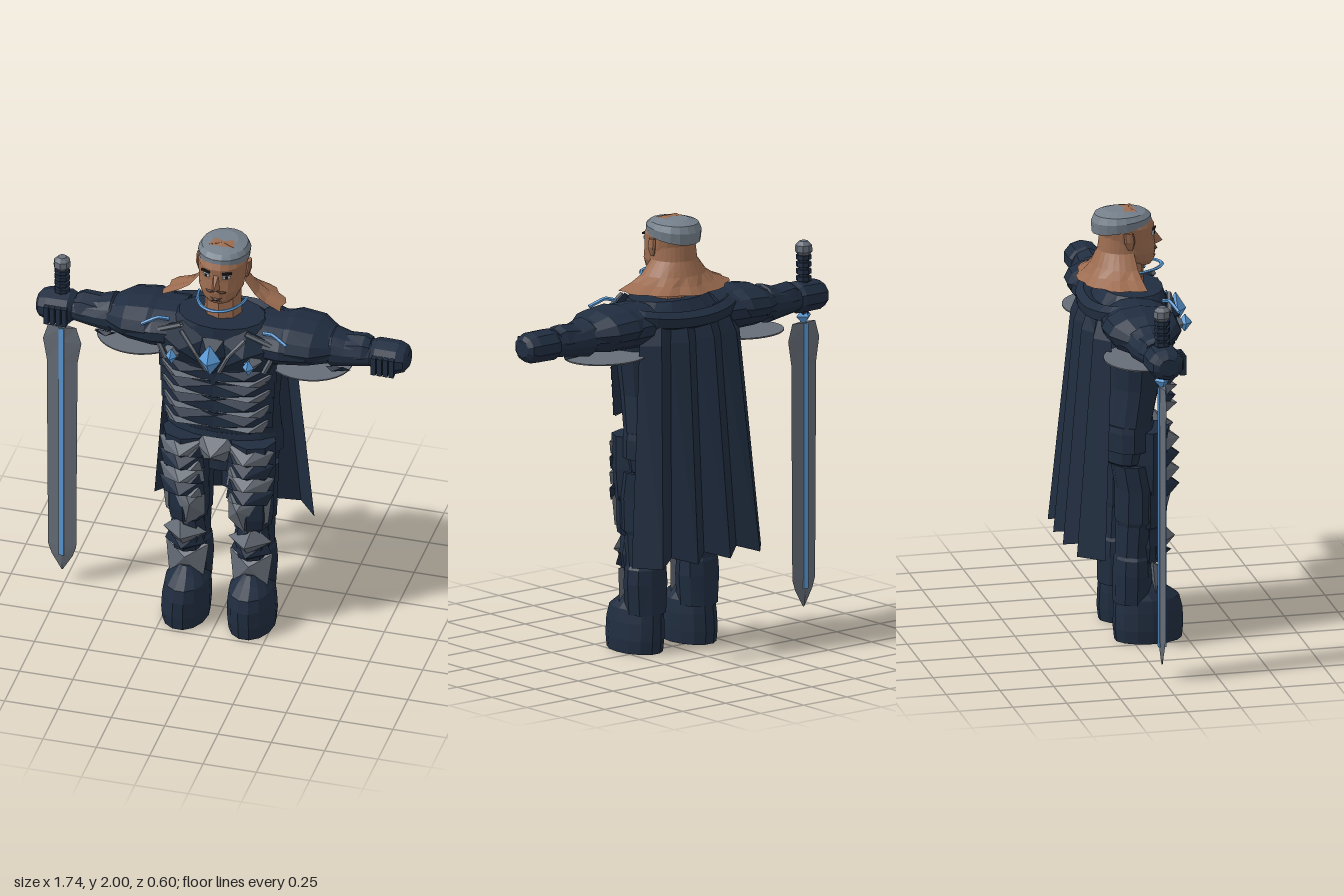
import * as THREE from 'three';

const mat = (name, color) => new THREE.MeshStandardMaterial({ name, color, side: THREE.DoubleSide });

// Closed body from elliptical rings [y, centreX, centreZ, radiusX, radiusZ], bottom to top
function loft(rings, n = 14) {
  const p = [], at = ([y, cx, cz, rx, rz], i) => {
    const a = (i / n) * Math.PI * 2;
    return [cx + rx * Math.cos(a), y, cz + rz * Math.sin(a)];
  };
  const lo = rings[0], hi = rings[rings.length - 1];
  for (let i = 0; i < n; i++) {
    for (let k = 0; k < rings.length - 1; k++) {
      const a = at(rings[k], i), b = at(rings[k], i + 1), c = at(rings[k + 1], i), d = at(rings[k + 1], i + 1);
      p.push(...a, ...c, ...b, ...b, ...c, ...d);
    }
    p.push(lo[1], lo[0], lo[2], ...at(lo, i), ...at(lo, i + 1));
    p.push(hi[1], hi[0], hi[2], ...at(hi, i + 1), ...at(hi, i));
  }
  return soup(p);
}

function soup(p) {
  const g = new THREE.BufferGeometry();
  g.setAttribute('position', new THREE.Float32BufferAttribute(p, 3));
  g.computeVertexNormals();
  return g;
}

// Loft along x: rings [x, centreY, centreZ, radiusY, radiusZ]
const loftX = (rings, n) => loft(rings.map(([x, cy, cz, ry, rz]) => [x, -cy, cz, ry, rz]), n).rotateZ(-Math.PI / 2);

// Faceted plate: outline [x, y, z] counter-clockwise from the front, raised to an apex
function facet(outline, apex) {
  const p = [], n = outline.length;
  outline.forEach((a, i) => p.push(...apex, ...a, ...outline[(i + 1) % n]));
  for (let i = 1; i < n - 1; i++) p.push(...outline[0], ...outline[i + 1], ...outline[i]);
  return soup(p);
}

// Open sheet through rows of points
function sheet(rows) {
  const p = [];
  for (let r = 0; r < rows.length - 1; r++) for (let i = 0; i < rows[r].length - 1; i++) {
    const a = rows[r][i], b = rows[r][i + 1], c = rows[r + 1][i], d = rows[r + 1][i + 1];
    p.push(...a, ...c, ...b, ...b, ...c, ...d);
  }
  return soup(p);
}

const box = (w, h, d, x, y, z, ry = 0) => new THREE.BoxGeometry(w, h, d).rotateY(ry).translate(x, y, z);
const rod = (pts, r) => {
  const path = new THREE.CurvePath();
  for (let i = 1; i < pts.length; i++) path.add(new THREE.LineCurve3(new THREE.Vector3(...pts[i - 1]), new THREE.Vector3(...pts[i])));
  return new THREE.TubeGeometry(path, (pts.length - 1) * 4, r, 5);
};
const crystal = (x, y, z, w, h, d) => loft([[y - h, x, z, 0.002, 0.002], [y, x, z, w, d], [y + h, x, z, 0.002, 0.002]], 4);

export function createModel() {
  const group = new THREE.Group();
  const navy = mat('navy armour', 0x202d40), steel = mat('steel grey', 0x666d77), blue = mat('crystal blue', 0x5c9ddb);
  const skin = mat('skin', 0x9c6c50), beard = mat('beard brown', 0x553a2c), hair = mat('grey hair', 0x747f8a);
  const dark = mat('dark line', 0x1c1c20), white = mat('eye white', 0xb8c4cc);

  const add = (name, geo, m) => {
    const g = geo.index ? geo.toNonIndexed() : geo;
    g.computeVertexNormals();
    const mesh = new THREE.Mesh(g, m);
    mesh.name = name;
    group.add(mesh);
  };
  // Adds a part and its mirror image across x = 0
  const pair = (name, geo, m) => {
    const g = geo.index ? geo.toNonIndexed() : geo, f = g.clone(), s = g.attributes.position;
    for (let i = 0; i < s.count; i += 3) [0, 2, 1].forEach((k, j) => f.attributes.position.setXYZ(i + j, -s.getX(i + k), s.getY(i + k), s.getZ(i + k)));
    add(name + 'Left', g, m);
    add(name + 'Right', f, m);
  };

  // Torso and belt
  add('torso', loft([[0.8, 0, 0.01, 0.16, 0.08], [0.85, 0, -0.02, 0.25, 0.11], [0.99, 0, -0.01, 0.27, 0.125], [1.2, 0, 0.02, 0.265, 0.14],
    [1.42, 0, 0.03, 0.285, 0.16], [1.56, 0, 0.02, 0.29, 0.17], [1.63, 0, 0.04, 0.2, 0.14]], 16), navy);
  add('belt', loft([[0.91, 0, -0.01, 0.275, 0.135], [1.0, 0, -0.01, 0.275, 0.14], [1.03, 0, -0.01, 0.27, 0.135]], 16), navy);
  add('buckle', facet([[-0.05, 0.9, 0.16], [0.05, 0.9, 0.16], [0.09, 0.97, 0.15], [0.06, 1.02, 0.15], [-0.06, 1.02, 0.15], [-0.09, 0.97, 0.15]], [0, 0.96, 0.235]), steel);

  // Overlapping abdomen plates
  for (let i = 0; i < 4; i++) {
    const y = 1.385 - i * 0.083, w = 0.275 - i * 0.006;
    pair('abdomenPlate', facet([[0, y - 0.05, 0.18], [w, y - 0.045, 0.11], [w, y + 0.055, 0.11], [0, y + 0.02, 0.18]], [0.15, y + 0.005, 0.21]), navy);
    pair('abdomenRidge', facet([[0.01, y - 0.035, 0.19], [0.22, y - 0.06, 0.14], [w - 0.01, y + 0.01, 0.13]], [0.17, y - 0.025, 0.212]), steel);
  }

  // Breastplate, trims and crystals
  pair('breastplate', facet([[0, 1.4, 0.19], [0.25, 1.41, 0.14], [0.3, 1.55, 0.13], [0.15, 1.635, 0.16], [0.04, 1.57, 0.19]], [0.15, 1.52, 0.23]), navy);
  pair('breastTrim', rod([[0.23, 1.42, 0.165], [0.29, 1.55, 0.15], [0.15, 1.625, 0.18]], 0.012), steel);
  pair('neckTrim', rod([[0.15, 1.6, 0.19], [0.08, 1.52, 0.222], [0.03, 1.41, 0.2]], 0.01), steel);
  add('chestCrystalMount', facet([[-0.075, 1.5, 0.19], [0, 1.39, 0.19], [0.075, 1.5, 0.19], [0.05, 1.58, 0.19], [-0.05, 1.58, 0.19]], [0, 1.5, 0.26]), navy);
  add('chestCrystal', crystal(0, 1.5, 0.245, 0.053, 0.078, 0.05), blue);
  pair('sideCrystalMount', facet([[0.13, 1.49, 0.18], [0.18, 1.43, 0.18], [0.23, 1.49, 0.18], [0.18, 1.54, 0.18]], [0.18, 1.488, 0.265]), steel);
  pair('sideCrystal', crystal(0.18, 1.49, 0.245, 0.027, 0.04, 0.035), blue);
  pair('shoulderInlay', rod([[0.22, 1.615, 0.135], [0.27, 1.628, 0.155], [0.34, 1.595, 0.18]], 0.009), blue);

  // Arms, hands and shoulder guards
  pair('arm', loftX([[0.18, 1.53, 0.01, 0.1, 0.16], [0.3, 1.53, 0.01, 0.1, 0.175], [0.42, 1.525, 0, 0.09, 0.16], [0.51, 1.52, 0, 0.075, 0.11],
    [0.52, 1.515, 0, 0.09, 0.105], [0.58, 1.51, 0, 0.075, 0.095], [0.7, 1.51, 0, 0.06, 0.07]]), navy);
  pair('shoulderCap', loftX([[0.26, 1.55, 0.01, 0.07, 0.15], [0.33, 1.545, 0, 0.092, 0.178], [0.44, 1.54, 0, 0.085, 0.168], [0.53, 1.53, 0, 0.05, 0.1]], 12), navy);
  pair('shoulderDisc', new THREE.CylinderGeometry(1, 1, 0.006, 28).scale(0.195, 1, 0.17).translate(0.4, 1.41, -0.01), steel);
  pair('bracer', loftX([[0.56, 1.51, 0, 0.075, 0.09], [0.66, 1.52, 0, 0.075, 0.08], [0.69, 1.52, 0, 0.06, 0.07]], 8), navy);
  pair('elbowFin', facet([[0.5, 1.42, 0.03], [0.6, 1.415, 0.03], [0.58, 1.46, 0.08], [0.5, 1.46, 0.09]], [0.53, 1.44, 0.1]), navy);
  pair('hand', loftX([[0.69, 1.51, 0, 0.06, 0.065], [0.72, 1.51, 0.005, 0.075, 0.085], [0.82, 1.51, 0.005, 0.073, 0.085], [0.855, 1.51, 0.005, 0.06, 0.07],
    [0.87, 1.51, 0.005, 0.04, 0.045]], 10), navy);
  for (let i = 0; i < 4; i++) pair('finger', box(0.022, 0.09, 0.03, 0.725 + i * 0.028, 1.5, 0.085), navy);

  // Legs with boots
  pair('thigh', loft([[0.37, 0.15, 0.01, 0.09, 0.08], [0.55, 0.15, 0.02, 0.095, 0.085], [0.57, 0.15, 0.03, 0.105, 0.1], [0.72, 0.15, 0.03, 0.11, 0.1],
    [0.84, 0.15, 0.01, 0.11, 0.1]], 10), navy);
  pair('calf', loft([[0.18, 0.15, 0.01, 0.095, 0.09], [0.32, 0.15, 0.01, 0.105, 0.09], [0.39, 0.15, 0.01, 0.1, 0.085], [0.42, 0.15, 0.01, 0.08, 0.07]], 10), navy);
  pair('boot', loft([[0, 0.155, 0.08, 0.105, 0.155], [0.06, 0.155, 0.08, 0.11, 0.162], [0.14, 0.152, 0.08, 0.108, 0.16], [0.2, 0.15, 0.075, 0.1, 0.15],
    [0.24, 0.15, 0.06, 0.075, 0.11], [0.28, 0.15, 0.06, 0.04, 0.07]]), navy);

  // Hip, thigh, knee and shin plates
  pair('hipGuard', loft([[0.7, 0.15, 0.08, 0.1, 0.09], [0.85, 0.155, 0.08, 0.11, 0.1], [1, 0.155, 0.08, 0.11, 0.1]], 8), navy);
  for (let i = 0; i < 4; i++) {
    const y = 0.95 - i * 0.072, b = 0.15;
    pair('hipPlate', facet([[0.05, y - 0.035, b], [0.24, y - 0.045, b], [0.27, y + 0.02, 0.12], [0.2, y + 0.045, b], [0.06, y + 0.04, b]], [0.15, y - 0.012, 0.228]), i % 2 ? navy : steel);
    pair('hipRidge', facet([[0.06, y - 0.045, 0.16], [0.17, y - 0.03, 0.19], [0.07, y + 0.015, 0.17]], [0.1, y - 0.02, 0.21]), i % 2 ? steel : navy);
  }
  pair('thighGuard', loft([[0.54, 0.15, 0.07, 0.09, 0.09], [0.6, 0.15, 0.07, 0.1, 0.1], [0.72, 0.15, 0.07, 0.1, 0.1]], 8), navy);
  pair('thighPlate', facet([[0.055, 0.58, 0.13], [0.14, 0.52, 0.15], [0.24, 0.58, 0.12], [0.255, 0.71, 0.12], [0.15, 0.735, 0.16], [0.055, 0.71, 0.13]], [0.11, 0.66, 0.195]), steel);
  pair('kneeGuard', loft([[0.37, 0.15, 0.07, 0.07, 0.08], [0.45, 0.15, 0.07, 0.085, 0.09], [0.53, 0.15, 0.07, 0.07, 0.08]], 8), navy);
  pair('kneePlate', facet([[0.05, 0.47, 0.11], [0.15, 0.41, 0.15], [0.255, 0.47, 0.11], [0.17, 0.555, 0.13]], [0.15, 0.475, 0.207]), steel);
  pair('lowerKneePlate', facet([[0.06, 0.4, 0.1], [0.15, 0.36, 0.12], [0.25, 0.4, 0.1], [0.23, 0.45, 0.1], [0.08, 0.45, 0.1]], [0.15, 0.41, 0.19]), navy);
  pair('shinPlate', facet([[0.07, 0.22, 0.1], [0.23, 0.22, 0.1], [0.25, 0.385, 0.08], [0.05, 0.385, 0.08]], [0.15, 0.33, 0.135]), steel);

  // Folded cloak with rolled collar
  const fold = (y, w, peak, valley, edge, jag) => Array.from({ length: 9 }, (_, i) => {
    const end = i % 8 === 0;
    return [(i - 4) / 4 * w, y + (i % 2 || end ? 0 : jag), end ? edge : i % 2 ? peak + (i % 6 === 1 ? 0.02 : 0) : valley];
  });
  add('cloak', sheet([fold(1.55, 0.26, -0.18, -0.15, -0.1, 0), fold(1.46, 0.29, -0.21, -0.165, -0.12, 0), fold(0.45, 0.375, -0.3, -0.225, -0.17, 0.03)]), navy);
  const roll = new THREE.CatmullRomCurve3([[-0.3, 1.58, 0.04], [-0.25, 1.57, -0.09], [-0.12, 1.555, -0.15], [0, 1.55, -0.16], [0.12, 1.555, -0.15],
    [0.25, 1.57, -0.09], [0.3, 1.58, 0.04]].map(v => new THREE.Vector3(...v)));
  add('cloakCollar', new THREE.TubeGeometry(roll, 16, 0.043, 6), navy);

  // Neck, flared nape and blue neck ring
  add('neck', loft([[1.57, 0, 0.015, 0.088, 0.08], [1.79, 0, 0.02, 0.085, 0.08]], 8), skin);
  const nape = (rx, rz, y, lift) => Array.from({ length: 19 }, (_, i) => {
    const a = (-14 + i * 208 / 18) * Math.PI / 180, jag = lift && i % 3 === 1 ? 0.94 : 1;
    return [rx * jag * Math.cos(a), y + lift * Math.abs(Math.cos(a)), -rz * jag * Math.sin(a)];
  });
  add('napeFlare', sheet([nape(0.1, 0.105, 1.89, 0), nape(0.108, 0.115, 1.81, 0), nape(0.16, 0.145, 1.745, 0), nape(0.21, 0.175, 1.705, 0.01), nape(0.285, 0.208, 1.67, 0.015)]), skin);
  add('neckRing', new THREE.TorusGeometry(1, 0.06, 5, 20, Math.PI).rotateX(Math.PI / 2 - 0.08).scale(0.112, 0.11, 0.165).translate(0, 1.715, 0.015), blue);

  // Head and face
  add('head', loft([[1.735, 0, 0.08, 0.055, 0.05], [1.76, 0, 0.065, 0.083, 0.078], [1.8, 0, 0.04, 0.103, 0.11], [1.86, 0, 0.02, 0.109, 0.122],
    [1.92, 0, 0.012, 0.112, 0.132], [1.975, 0, 0.005, 0.09, 0.11]], 18), skin);
  add('nose', facet([[-0.025, 1.815, 0.13], [0.025, 1.815, 0.13], [0.012, 1.9, 0.135], [-0.012, 1.9, 0.135]], [0, 1.83, 0.185]), skin);
  pair('ear', loft([[1.83, 0.11, 0.01, 0.008, 0.012], [1.87, 0.118, 0.005, 0.012, 0.025], [1.91, 0.118, 0, 0.01, 0.022]], 8), skin);
  pair('eye', box(0.034, 0.014, 0.008, 0.047, 1.885, 0.132, 0.4), white);
  pair('pupil', box(0.013, 0.014, 0.009, 0.047, 1.885, 0.134, 0.4), dark);
  pair('eyebrow', box(0.045, 0.009, 0.009, 0.05, 1.906, 0.134, 0.4), dark);
  pair('moustache', facet([[0, 1.8, 0.145], [0.07, 1.79, 0.112], [0.07, 1.812, 0.116], [0, 1.818, 0.148]], [0.03, 1.806, 0.154]), beard);
  add('goatee', facet([[-0.03, 1.74, 0.125], [0.03, 1.74, 0.125], [0.05, 1.782, 0.13], [-0.05, 1.782, 0.13]], [0, 1.765, 0.153]), beard);

  // Cropped hair, lower at the back, with a bare crown patch
  const cap = loft([[1.915, 0, -0.005, 0.114, 0.136], [1.955, 0, -0.008, 0.119, 0.137], [1.98, 0, -0.012, 0.105, 0.118], [1.994, 0, -0.012, 0.06, 0.07]], 18), cp = cap.attributes.position;
  for (let i = 0; i < cp.count; i++) cp.setY(i, cp.getY(i) + cp.getZ(i) * 2.2 * (1.994 - cp.getY(i)));
  add('hair', cap, hair);
  add('crownPatch', facet([[-0.06, 1.994, 0.05], [-0.025, 1.995, 0.035], [0, 1.994, 0.05], [0.025, 1.995, 0.035], [0.06, 1.994, 0.05], [0.045, 1.995, -0.01], [0, 1.996, 0.01], [-0.045, 1.995, -0.01]], [0, 2, 0.025]), skin);

  // Sword held point down in the right hand
  const sx = -0.76;
  add('swordBlade', loft([[0.07, sx, 0, 0.004, 0.003], [0.15, sx, 0, 0.05, 0.013], [0.2, sx, 0, 0.066, 0.015], [1.2, sx, 0, 0.072, 0.016],
    [1.31, sx, 0, 0.09, 0.016], [1.39, sx, 0, 0.066, 0.016]], 4), steel);
  add('swordInlay', box(0.024, 1.23, 0.036, sx, 0.77, 0), blue);
  add('swordGem', crystal(sx, 1.42, 0, 0.042, 0.043, 0.036), blue);
  add('swordGrip', loft([[1.42, sx, 0, 0.022, 0.022], [1.72, sx, 0, 0.025, 0.025]], 8), navy);
  for (let i = 0; i < 4; i++) add('gripRing', loft([[1.585 + i * 0.033, sx, 0, 0.036, 0.036], [1.605 + i * 0.033, sx, 0, 0.036, 0.036]], 8), navy);
  add('pommel', loft([[1.7, sx, 0, 0.024, 0.024], [1.72, sx, 0, 0.04, 0.04], [1.75, sx, 0, 0.038, 0.038], [1.768, sx, 0, 0.02, 0.02]], 8), steel);
  return group;
}
